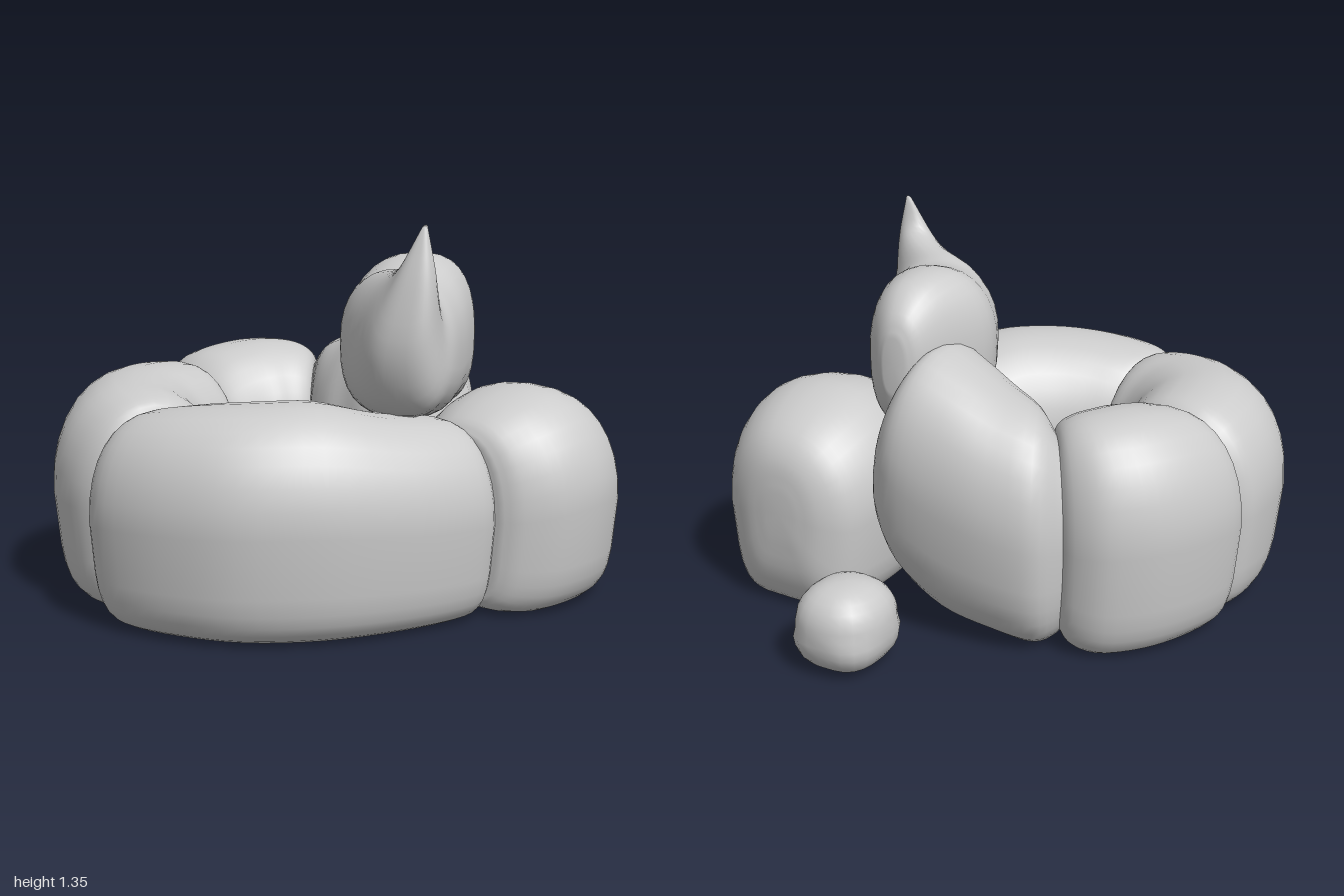
import * as THREE from 'three';

const SIDES = 32, STEPS = 4, TOP_POWER = 2.25;
const material = new THREE.MeshStandardMaterial({ color: 0xcccccc });
const power = (c, n) => Math.sign(c) * Math.pow(Math.abs(c), 2 / n);

// Swollen lobe swept through rows of cross-sections:
// [innerX, innerZ, outerX, outerZ, bottomY, topY, leanX, leanZ]
// The lean shifts the top of a section; the bottom shifts the other way.
// The lower half is squarer and tapers in toward the ground.
function lobe(name, rows, bottomPower = 5, taper = 0.12) {
  const us = rows.map(([ix, iz, ox, oz]) => new THREE.Vector3((ox - ix) / 2, 0, (oz - iz) / 2));
  const vs = rows.map(([, , , , b, t, lx = 0, lz = 0]) => new THREE.Vector3(lx, (t - b) / 2, lz));
  const cs = rows.map(([ix, iz, ox, oz, b, t]) => new THREE.Vector3((ix + ox) / 2, (b + t) / 2, (iz + oz) / 2));
  const [uc, vc, cc] = [us, vs, cs].map((p) => new THREE.CatmullRomCurve3(p, false, 'catmullrom', 0.5));
  const n = (rows.length - 1) * STEPS;
  const pos = [], index = [];
  for (let i = 0; i <= n; i++) {
    const u = uc.getPoint(i / n), v = vc.getPoint(i / n), c = cc.getPoint(i / n);
    for (let j = 0; j < SIDES; j++) {
      const a = (j / SIDES) * Math.PI * 2;
      const e = Math.sin(a) < 0 ? bottomPower : TOP_POWER;
      const up = power(Math.sin(a), e);
      const across = power(Math.cos(a), e) * (1 + taper * Math.min(up, 0));
      const p = c.clone().addScaledVector(u, across).addScaledVector(v, up);
      pos.push(p.x, Math.max(p.y, 0.005), p.z);
      if (i < n) {
        const k = i * SIDES + j, m = i * SIDES + ((j + 1) % SIDES);
        index.push(k, m, k + SIDES, m, m + SIDES, k + SIDES);
      }
    }
  }
  // close both ends
  const first = pos.length / 3, base = n * SIDES;
  pos.push(...cs[0].toArray(), ...cs[cs.length - 1].toArray());
  for (let j = 0; j < SIDES; j++) {
    const m = (j + 1) % SIDES;
    index.push(first, m, j, first + 1, base + j, base + m);
  }
  const geo = new THREE.BufferGeometry();
  geo.setAttribute('position', new THREE.Float32BufferAttribute(pos, 3));
  geo.setIndex(index);
  geo.computeVertexNormals();
  const mesh = new THREE.Mesh(geo, material);
  mesh.name = name;
  return mesh;
}

// Small rounded-cube pellet
function pellet() {
  const geo = new THREE.SphereGeometry(1, 24, 16);
  const p = geo.attributes.position, v = new THREE.Vector3();
  for (let i = 0; i < p.count; i++) {
    v.fromBufferAttribute(p, i);
    const e = v.y < 0 ? 2.9 : 2.4;
    const r = Math.pow(Math.abs(v.x) ** e + Math.abs(v.y) ** e + Math.abs(v.z) ** e, 1 / e);
    p.setXYZ(i, (v.x / r) * 0.172, (v.y / r) * 0.15, (v.z / r) * 0.16);
  }
  geo.computeVertexNormals();
  const mesh = new THREE.Mesh(geo, material);
  mesh.name = 'pellet';
  mesh.position.set(0.828, 0.157, 0.12);
  return mesh;
}

export function createModel() {
  const group = new THREE.Group();
  group.name = 'coil';
  group.add(
    // blunt start of the coil
    lobe('endLobe', [
      [0.655, 0.47, 0.655, 0.59, 0.3, 0.46],
      [0.635, 0.37, 0.635, 0.7, 0.13, 0.58],
      [0.57, 0.28, 0.57, 0.81, 0.01, 0.67],
      [0.44, 0.23, 0.44, 0.89, 0, 0.735],
      [0.28, 0.22, 0.28, 0.925, 0, 0.765],
      [0.12, 0.25, 0.12, 0.89, 0, 0.735],
      [0.01, 0.31, 0.01, 0.8, 0.02, 0.68],
      [-0.03, 0.36, -0.03, 0.72, 0.06, 0.63],
    ]),
    lobe('leftLobe', [
      [0.06, 0.3, 0.03, 0.66, 0.06, 0.6],
      [0.02, 0.22, -0.02, 0.7, 0.02, 0.66],
      [-0.05, 0.16, -0.12, 0.73, 0, 0.69],
      [-0.18, 0.12, -0.38, 0.665, 0, 0.72],
      [-0.28, 0.06, -0.67, 0.52, 0, 0.77],
      [-0.355, -0.02, -0.88, 0.31, 0, 0.77],
      [-0.41, -0.1, -0.98, 0.06, 0, 0.755],
      [-0.45, -0.17, -1, -0.17, 0, 0.73],
      [-0.48, -0.2, -0.95, -0.3, 0.02, 0.7],
      [-0.53, -0.25, -0.86, -0.36, 0.08, 0.63],
    ]),
    lobe('backLeftLobe', [
      [-0.53, -0.21, -0.83, -0.29, 0.08, 0.64],
      [-0.46, -0.19, -0.88, -0.35, 0.02, 0.72],
      [-0.4, -0.2, -0.88, -0.48, 0, 0.75],
      [-0.37, -0.26, -0.8, -0.66, 0, 0.77],
      [-0.32, -0.31, -0.6, -0.85, 0, 0.785],
      [-0.24, -0.33, -0.4, -0.925, 0, 0.785],
      [-0.17, -0.35, -0.2, -0.925, 0, 0.77],
      [-0.12, -0.4, -0.12, -0.88, 0.02, 0.73],
      [-0.08, -0.45, -0.08, -0.81, 0.06, 0.67],
    ]),
    lobe('backRightLobe', [
      [-0.15, -0.45, -0.15, -0.82, 0.08, 0.67],
      [-0.12, -0.4, -0.12, -0.88, 0.03, 0.73],
      [-0.06, -0.35, -0.03, -0.925, 0, 0.79],
      [0, -0.3, 0.16, -0.89, 0, 0.82],
      [0.05, -0.28, 0.33, -0.8, 0, 0.825],
      [0.09, -0.26, 0.44, -0.67, 0, 0.81],
      [0.13, -0.26, 0.46, -0.55, 0.03, 0.77],
      [0.2, -0.31, 0.43, -0.47, 0.1, 0.7],
    ]),
    // rises toward the top
    lobe('rightLobe', [
      [0.18, -0.34, 0.4, -0.52, 0.1, 0.66],
      [0.12, -0.27, 0.45, -0.49, 0.03, 0.74],
      [0.05, -0.2, 0.55, -0.43, 0, 0.82],
      [0, -0.1, 0.6, -0.27, 0.02, 0.875],
      [0, 0, 0.615, -0.08, 0.06, 0.945, 0, -0.02],
      [0, 0.1, 0.605, 0.09, 0.17, 0.99, 0, -0.04],
      [0.04, 0.17, 0.55, 0.18, 0.32, 0.95, 0, -0.06],
      [0.11, 0.21, 0.45, 0.24, 0.46, 0.86, 0, -0.06],
    ], 3.2),
    // crown with the curled-up point
    lobe('topLobe', [
      [0.425, 0.14, 0.435, 0.22, 0.83, 1.03],
      [0.38, 0.09, 0.41, 0.27, 0.74, 1.11],
      [0.25, 0.04, 0.34, 0.34, 0.66, 1.19],
      [0.08, 0, 0.22, 0.41, 0.65, 1.21],
      [-0.05, 0.05, 0.1, 0.47, 0.65, 1.18, 0.01, -0.01],
      [-0.15, 0.12, -0.01, 0.52, 0.68, 1.17, 0.05, -0.04],
      [-0.22, 0.22, -0.11, 0.55, 0.73, 1.18, 0.08, -0.07],
      [-0.265, 0.35, -0.19, 0.575, 0.92, 1.2, 0.08, -0.03],
      [-0.25, 0.45, -0.205, 0.57, 1.14, 1.24, 0.045, -0.01],
      [-0.205, 0.52, -0.198, 0.535, 1.335, 1.35, 0.008],
    ], 2.7, 0),
    pellet(),
  );
  return group;
}
